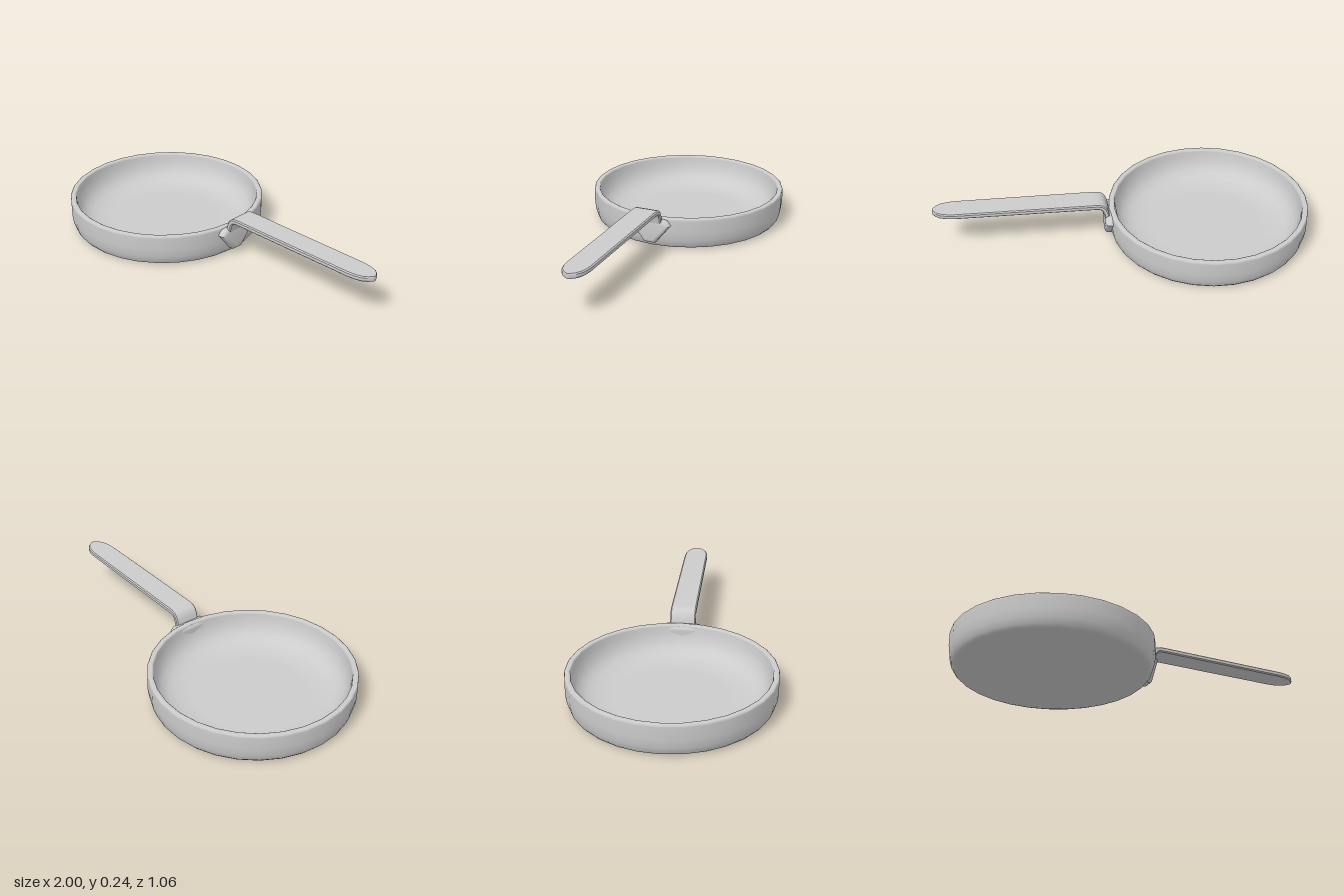
import * as THREE from 'three';
import { toCreasedNormals } from 'three/addons/utils/BufferGeometryUtils.js';

const material = new THREE.MeshStandardMaterial({ color: 0xcccccc });

function addPart(group, name, geometry) {
  const mesh = new THREE.Mesh(geometry, material);
  mesh.name = name;
  group.add(mesh);
  return mesh;
}

// Joins equal-sized loops of points into a closed, capped skin
function loft(loops) {
  const n = loops[0].length, positions = [], index = [];
  loops.forEach(loop => loop.forEach(p => positions.push(p.x, p.y, p.z)));
  for (let i = 0; i < loops.length - 1; i++) {
    for (let j = 0; j < n; j++) {
      const a = i * n + j, b = i * n + (j + 1) % n;
      index.push(a, b, b + n, a, b + n, a + n);
    }
  }
  const last = (loops.length - 1) * n;
  for (let j = 1; j < n - 1; j++) {
    index.push(0, j + 1, j, last, last + j, last + j + 1);
  }
  const geometry = new THREE.BufferGeometry();
  geometry.setAttribute('position', new THREE.Float32BufferAttribute(positions, 3));
  geometry.setIndex(index);
  return geometry;
}

// Bowl: outer wall, rim and rounded inside as one turned profile
function bowlGeometry() {
  const profile = [
    [0, 0.003], [0.475, 0.003], [0.488, 0.004], [0.507, 0.009], [0.519, 0.023],
    [0.529, 0.055], [0.535, 0.1], [0.535, 0.168], [0.534, 0.176], [0.529, 0.18],
    [0.511, 0.18], [0.506, 0.177], [0.504, 0.17], [0.5, 0.14], [0.488, 0.1],
    [0.465, 0.065], [0.43, 0.042], [0.385, 0.028], [0.33, 0.022], [0.3, 0.021], [0, 0.021],
  ].map(([r, y]) => new THREE.Vector2(r, y));
  return new THREE.LatheGeometry(profile, 30, Math.PI / 2);
}

// Bracket: bevelled shield against the bowl wall
function bracketGeometry() {
  const shape = new THREE.Shape([
    [-0.02, 0.06], [0.02, 0.06], [0.086, 0.142], [0.08, 0.15],
    [0.058, 0.154], [-0.058, 0.154], [-0.08, 0.15], [-0.086, 0.142],
  ].map(([z, y]) => new THREE.Vector2(z, y)));
  const geometry = new THREE.ExtrudeGeometry(shape, {
    depth: 0.028, bevelEnabled: true, bevelThickness: 0.02, bevelSize: 0.021, bevelSegments: 4,
  });
  geometry.rotateY(Math.PI / 2).translate(0.049, 0, 0);
  return toCreasedNormals(geometry, 0.8);
}

// Handle: flat strip that rises from the bracket, bends and ends in a round tip
function handleGeometry() {
  const stations = [
    [0.078, 0.11, 0.069], [0.083, 0.16, 0.069], [0.092, 0.195, 0.069], [0.1, 0.213, 0.069],
    [0.112, 0.225, 0.069], [0.13, 0.23, 0.069], [0.16, 0.231, 0.069], [0.88, 0.231, 0.067],
    [0.92, 0.231, 0.063], [0.955, 0.231, 0.053], [0.98, 0.231, 0.036],
    [0.993, 0.231, 0.018], [0.998, 0.231, 0.006],
  ];
  const half = 0.014, bevel = 0.006;
  const loops = stations.map(([x, y, w], i) => {
    const a = stations[Math.max(i - 1, 0)], b = stations[Math.min(i + 1, stations.length - 1)];
    const along = new THREE.Vector2(b[0] - a[0], b[1] - a[1]).normalize();
    const c = Math.min(bevel, w * 0.5);
    return [
      [w - c, half], [w, half - bevel], [w, bevel - half], [w - c, -half],
      [c - w, -half], [-w, bevel - half], [-w, half - bevel], [c - w, half],
    ].map(([z, t]) => new THREE.Vector3(x - along.y * t, y + along.x * t, z));
  });
  return toCreasedNormals(loft(loops), 0.6);
}

export function createModel() {
  const group = new THREE.Group();
  group.name = 'fryingPan';
  addPart(group, 'bowl', bowlGeometry()).position.x = -0.465;
  addPart(group, 'bracket', bracketGeometry());
  addPart(group, 'handle', handleGeometry());
  return group;
}
